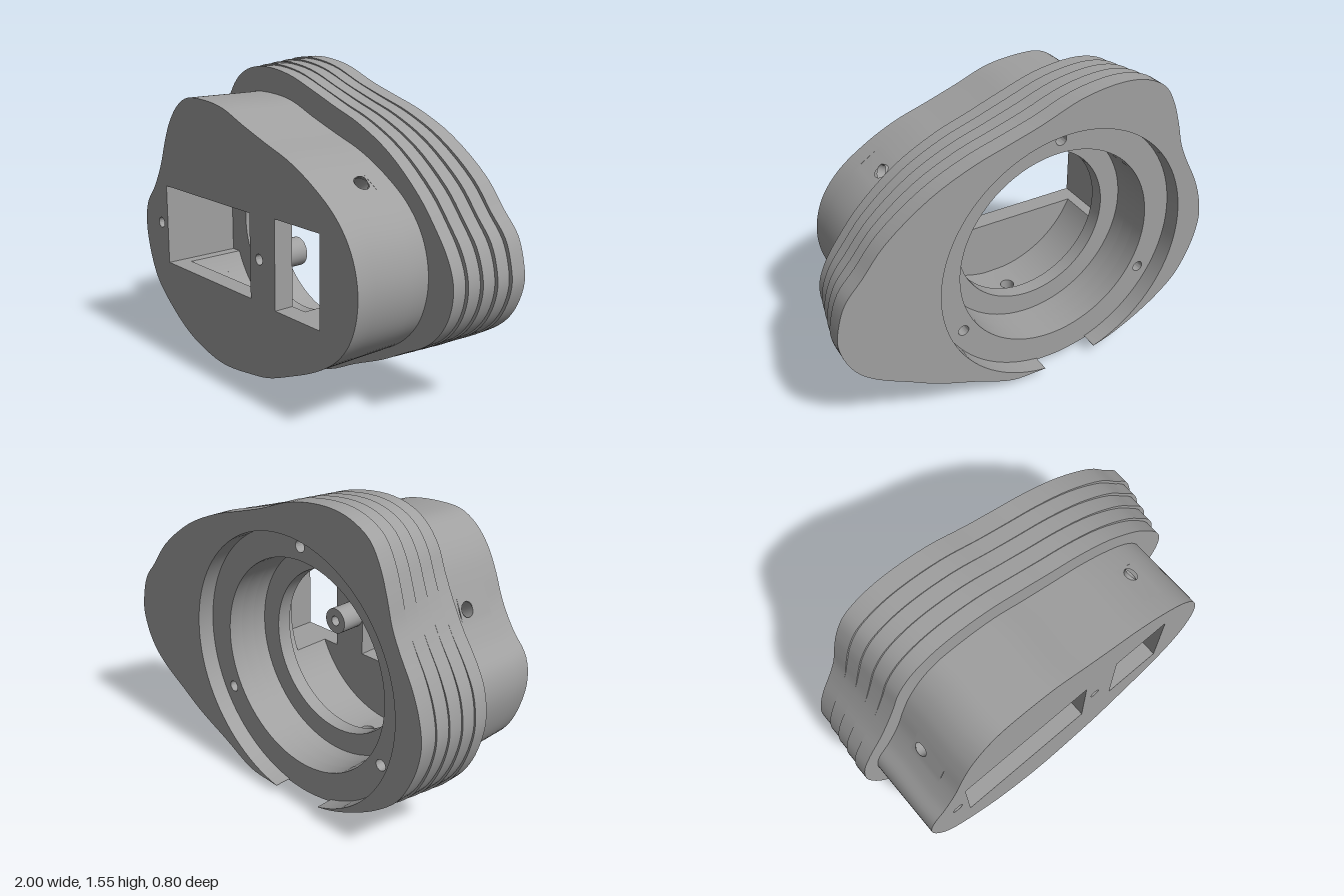
import * as THREE from 'three';
import { mergeGeometries, toCreasedNormals } from 'three/addons/utils/BufferGeometryUtils.js';

const CX = -0.16, CY = 0.7075;           // axis of the round bore
const BORE = 0.525, LIP = 0.415, RECESS = 0.665;
const DRILL_Z = 0.15, DRILL_R = 0.036;
const DRILLS = [30, 150, 270].map((d) => THREE.MathUtils.degToRad(d));

// Outline control points (x, y), clockwise from the left side
const BODY = [-.922, .668, -.9, .79, -.82, .893, -.75, 1.016, -.698, 1.15, -.644, 1.257, -.57, 1.342, -.484, 1.39,
  -.377, 1.4, -.18, 1.38, 0, 1.315, .168, 1.257, .33, 1.203, .49, 1.123, .64, 1.016, .735, .893, .78, .75, .778, .615,
  .735, .487, .65, .38, .516, .289, .33, .203, .168, .139, .035, .112, -.2, .085, -.366, .107, -.527, .16, -.687, .257,
  -.82, .374, -.885, .497];
const FLANGE_FRONT = [-1, .66, -.98, .8, -.928, .91, -.85, 1.03, -.79, 1.14, -.735, 1.26, -.69, 1.37, -.62, 1.455,
  -.53, 1.505, -.4, 1.527, -.2, 1.505, 0, 1.44, .15, 1.385, .32, 1.325, .52, 1.22, .71, 1.06, .81, .94, .885, .83,
  .925, .73, .93, .64, .905, .54, .85, .45, .78, .385, .645, .31, .51, .235, .32, .15, .13, .058, -.02, .027,
  -.2, .003, -.42, .048, -.607, .128, -.767, .225, -.874, .32, -.944, .43, -.987, .56];
const FLANGE_BACK = [-.97, .68, -.95, .8, -.905, .92, -.84, 1.04, -.794, 1.14, -.762, 1.257, -.72, 1.38, -.66, 1.476,
  -.553, 1.535, -.42, 1.556, -.206, 1.53, 0, 1.455, .158, 1.406, .33, 1.353, .54, 1.257, .757, 1.096, .863, .968,
  .95, .866, .99, .75, 1, .66, .97, .55, .917, .465, .837, .396, .676, .305, .54, .23, .33, .144, .13, .06, -.02, .05,
  -.2, .047, -.41, .085, -.59, .16, -.745, .255, -.85, .35, -.915, .46, -.955, .57];

// Smooth closed outline, counter-clockwise
function outline(flat) {
  const pts = [];
  for (let i = 0; i < flat.length; i += 2) pts.push(new THREE.Vector3(flat[i], flat[i + 1], 0));
  const curve = new THREE.CatmullRomCurve3(pts.reverse(), true, 'centripetal');
  return curve.getPoints(140).slice(0, -1).map((p) => new THREE.Vector2(p.x, p.y));
}

function arc(r, a0, a1, n = 64) {
  return Array.from({ length: n + 1 }, (_, i) => {
    const a = a0 + (a1 - a0) * i / n;
    return new THREE.Vector2(CX + r * Math.cos(a), CY + r * Math.sin(a));
  });
}

const circle = (x, y, r) => new THREE.Path().absarc(x, y, r, 0, Math.PI * 2, true);
const rect = (x0, y0, x1, y1) => new THREE.Path([[x0, y0], [x1, y0], [x1, y1], [x0, y1]].map((p) => new THREE.Vector2(...p)));

// Slab between two z levels with holes through it
function slab(points, holes, z0, z1) {
  const shape = new THREE.Shape(points);
  shape.holes = holes;
  const geo = new THREE.ExtrudeGeometry(shape, { depth: z1 - z0, bevelEnabled: false, curveSegments: 40 });
  geo.translate(0, 0, z0);
  return toCreasedNormals(geo, 0.5);
}

// Chamber contour: the bore widened by the wide window and, optionally, the narrow one
function chamber(withNarrow) {
  const a1 = Math.asin(0.2075 / BORE), a2 = withNarrow ? Math.asin(0.2175 / BORE) : 0.01;
  const pts = [...arc(BORE, a2, Math.PI - a1), new THREE.Vector2(-0.7, CY + 0.2075), new THREE.Vector2(-0.7, CY - 0.2075),
    ...arc(BORE, Math.PI + a1, 2 * Math.PI - a2)];
  if (withNarrow) pts.push(new THREE.Vector2(0.54, CY - 0.2175), new THREE.Vector2(0.54, CY + 0.2175));
  return pts;
}

// Wall of flat panels along a contour, pierced by the radial drill holes
function drilledWall(contour, z0, z1, hits) {
  const along = (p, a) => (p.x - CX) * Math.cos(a) + (p.y - CY) * Math.sin(a);
  const across = (p, a) => (p.y - CY) * Math.cos(a) - (p.x - CX) * Math.sin(a);
  const pts = contour.filter((p) => !DRILLS.some((a) => along(p, a) > 0 && Math.abs(across(p, a)) < 0.045));
  const panels = pts.map((p, i) => {
    const q = pts[(i + 1) % pts.length], len = p.distanceTo(q);
    const shape = new THREE.Shape(rect(0, z0, len, z1).getPoints());
    DRILLS.forEach((a, k) => {
      const c0 = across(p, a), c1 = across(q, a);
      if (along(p, a) < 0 || c0 * c1 > 0) return;
      const t = c0 / (c0 - c1);
      shape.holes.push(circle(t * len, DRILL_Z, DRILL_R));
      hits[k].push(along(p, a) * (1 - t) + along(q, a) * t);
    });
    const u = new THREE.Vector3(q.x - p.x, q.y - p.y, 0).normalize();
    const m = new THREE.Matrix4().makeBasis(u, new THREE.Vector3(0, 0, 1), new THREE.Vector3(u.y, -u.x, 0));
    return new THREE.ShapeGeometry(shape, 12).applyMatrix4(m.setPosition(p.x, p.y, 0)).toNonIndexed();
  });
  return toCreasedNormals(mergeGeometries(panels), 0.5);
}

export function createModel() {
  const group = new THREE.Group();
  const grey = new THREE.MeshStandardMaterial({ color: 0xa0a0a0 });
  grey.name = 'grey';
  const greyInside = grey.clone();
  greyInside.side = THREE.DoubleSide;
  const add = (name, geo, mat = grey) => {
    const mesh = new THREE.Mesh(geo, mat);
    mesh.name = name;
    group.add(mesh);
    return mesh;
  };

  // Front housing: face plate, drilled middle wall, rear section
  const body = outline(BODY);
  add('facePlate', slab(body, [rect(-0.7, 0.5, 0.035, 0.915), rect(0.225, 0.49, 0.54, 0.925),
    circle(0.105, 0.7075, 0.026), circle(-0.762, 0.7075, 0.027)], 0.3, 0.4));
  const hits = [[], [], []];
  add('housingWall', drilledWall(body, 0.1, 0.3, hits));
  add('chamberWall', drilledWall(chamber(true).reverse(), 0.1, 0.3, hits));
  add('housingRear', slab(body, [new THREE.Path(chamber(false))], -0.01, 0.1));

  // Radial screw holes from the outside into the chamber
  DRILLS.forEach((a, k) => {
    const [outer, inner] = hits[k], mid = (outer + inner) / 2;
    const tube = add('screwHole', new THREE.CylinderGeometry(DRILL_R, DRILL_R, outer - inner, 24, 1, true), greyInside);
    tube.position.set(CX + mid * Math.cos(a), CY + mid * Math.sin(a), DRILL_Z);
    tube.rotation.z = a - Math.PI / 2;
  });

  // Screw boss behind the bridge between the windows
  const bossRing = Array.from({ length: 32 }, (_, i) => new THREE.Vector2(
    0.105 + 0.068 * Math.cos(i * Math.PI / 16), 0.7075 + 0.068 * Math.sin(i * Math.PI / 16)));
  add('screwBoss', slab(bossRing, [circle(0.105, 0.7075, 0.026)], 0.17, 0.3));

  // Stepped flange: five layers drifting from the front outline to the back one
  const levels = [-0.01, -0.085, -0.16, -0.235, -0.31, -0.397];
  for (let i = 0; i < 5; i++) {
    let pts = outline(FLANGE_FRONT.map((v, j) => THREE.MathUtils.lerp(v, FLANGE_BACK[j], i / 4)));
    const holes = [];
    if (i === 0) holes.push(circle(CX, CY, LIP));
    else if (i < 4) {
      holes.push(circle(CX, CY, BORE));
      for (const d of [90, 210, 330]) {
        const a = THREE.MathUtils.degToRad(d);
        holes.push(circle(CX + 0.592 * Math.cos(a), CY + 0.592 * Math.sin(a), 0.028));
      }
    } else {
      // The wide recess breaks through the bottom edge, leaving an open ring
      const out = (p) => Math.hypot(p.x - CX, p.y - CY) > RECESS + 0.001;
      const start = pts.findIndex((p, j) => out(p) && !out(pts.at(j - 1)));
      if (start < 0) holes.push(circle(CX, CY, RECESS));
      else {
        pts = [...pts.slice(start), ...pts.slice(0, start)].filter(out);
        const ang = (p) => Math.atan2(p.y - CY, p.x - CX);
        const a0 = ang(pts.at(-1));
        let a1 = ang(pts[0]);
        while (a1 > a0) a1 -= 2 * Math.PI;
        pts.push(...arc(RECESS, a0, a1, 90));
      }
    }
    add('flangeLayer' + (i + 1), slab(pts, holes, levels[i + 1], levels[i]));
  }
  return group;
}
